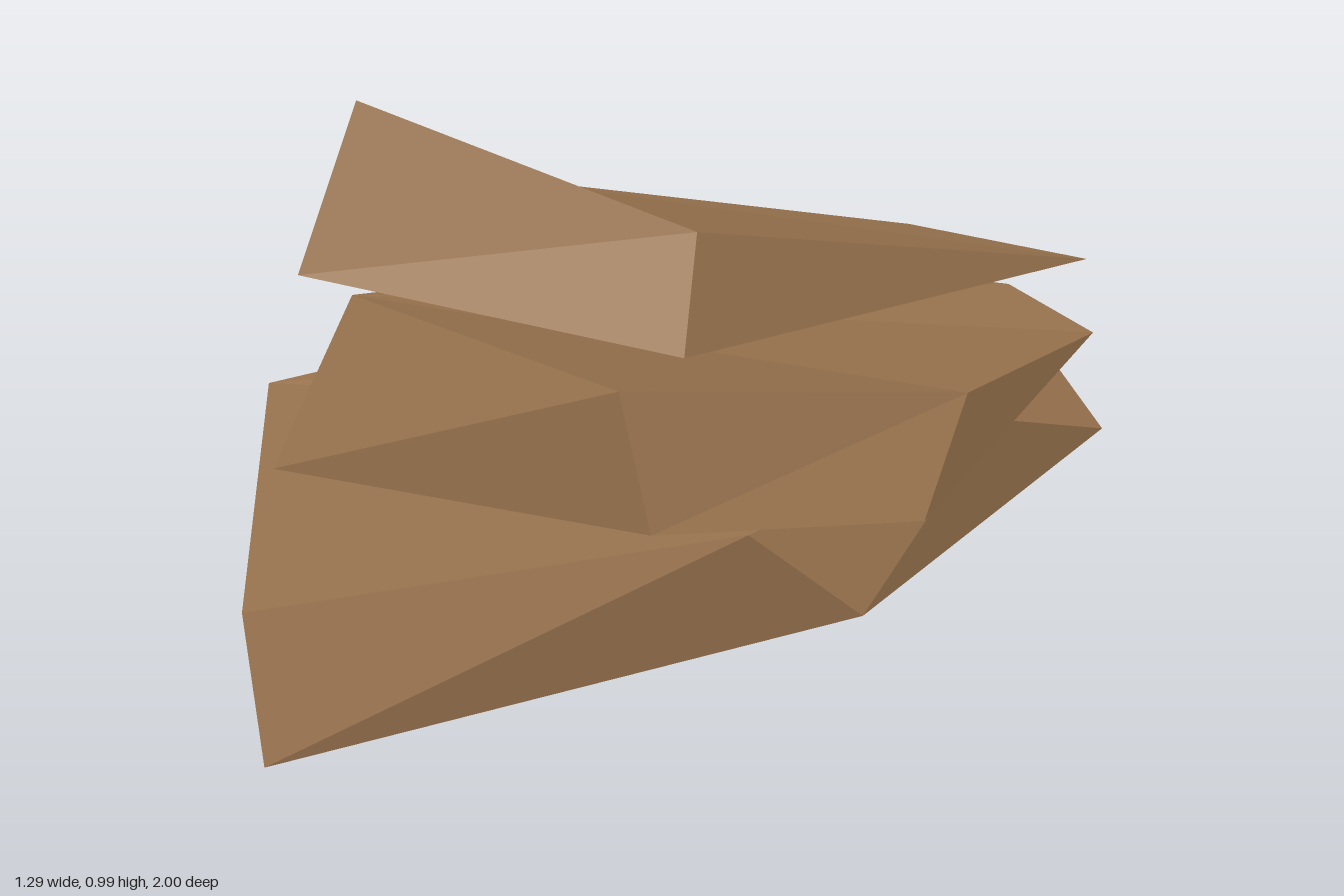
import * as THREE from 'three';

const stone = new THREE.MeshStandardMaterial({ color: 0x9c7650, flatShading: true, side: THREE.DoubleSide });
stone.name = 'brownStone';

// Faceted slab: each face lists its corners counter-clockwise and is split as a fan
function slab(name, corners, faces) {
  const positions = [];
  for (const face of faces) {
    for (let i = 1; i < face.length - 1; i++) {
      for (const k of [face[0], face[i], face[i + 1]]) positions.push(...corners[k]);
    }
  }
  const geometry = new THREE.BufferGeometry();
  geometry.setAttribute('position', new THREE.Float32BufferAttribute(positions, 3));
  geometry.computeVertexNormals();
  const mesh = new THREE.Mesh(geometry, stone);
  mesh.name = name;
  return mesh;
}

export function createModel() {
  const group = new THREE.Group();
  group.name = 'stackedRocks';

  // Wide bottom rock, open underneath
  group.add(slab('bottomRock', [
    // foot
    [-0.65, 0.01, -0.24], [-0.56, 0.01, 0.56], [0.34, 0.01, 1.0],
    [0.47, 0, -0.08], [0.13, 0.01, -1.0], [-0.5, 0.01, -0.75],
    // top rim
    [-0.52, 0.255, -0.25], [-0.56, 0.24, 0.53], [0.295, 0.255, 1.0],
    [0.48, 0.23, 0.18], [0.33, 0.22, -0.5], [0.03, 0.27, -0.84], [-0.49, 0.26, -0.74],
  ], [
    [1, 2, 8, 7], // front
    [2, 3, 9, 8], [3, 10, 9], [3, 4, 10], [4, 11, 10], // left side
    [4, 5, 12, 11], // back
    [5, 0, 12], [0, 6, 12], [0, 1, 7, 6], // right side
    [7, 8, 9, 10, 11, 12, 6], // top
  ]));

  // Wedge-shaped middle rock with a raised front corner
  group.add(slab('middleRock', [
    [0.605, 0.605, 0.52], [-0.32, 0.475, 0.47], [-0.51, 0.31, -0.53], [-0.04, 0.3, -0.88],
    [0.28, 0.31, -0.8], [0.57, 0.42, -0.21], [0.2, 0.43, 0.89],
    [0.63, 0.37, 0.48], [0.63, 0.245, -0.07], [-0.32, 0.315, 0.48],
  ], [
    [0, 5, 1], [1, 5, 4, 3, 2], // top
    [6, 0, 1], [6, 7, 0], [6, 1, 9], // front
    [1, 2, 9], // right side
    [7, 8, 5, 0], [8, 4, 5], // left side
    [8, 7, 6, 9, 2, 3, 4], // underside
  ]));

  // Tilted top rock, thick in front and tapering to the back
  group.add(slab('topRock', [
    [0.185, 0.985, 0.71], [0.58, 0.815, 0.36], [-0.4, 0.635, 0.19],
    [0.19, 0.73, 0.825], [0.645, 0.65, 0.43], [-0.25, 0.59, 0.56],
    [-0.45, 0.41, 0.03], [-0.25, 0.39, -0.79], [0.125, 0.39, -0.93],
  ], [
    [0, 1, 2], [2, 1, 8, 7], // top
    [3, 0, 2, 5], [3, 4, 1, 0], // front
    [5, 2, 6], [2, 7, 6], // right side
    [4, 8, 1], // left side
    [5, 6, 4], [5, 4, 3], [6, 7, 8], [6, 8, 4], // underside
  ]));

  return group;
}
